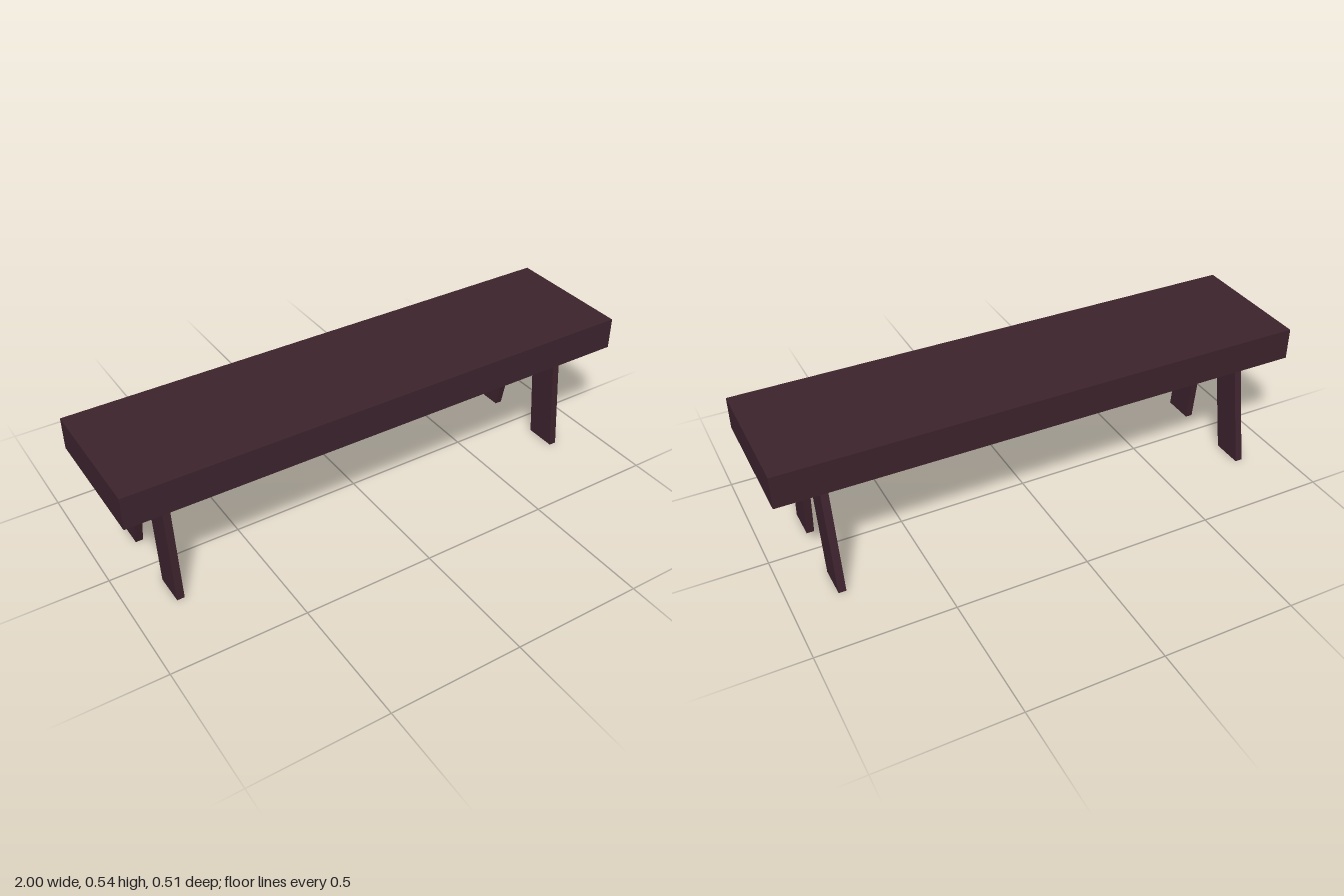
import * as THREE from 'three';

export function createModel() {
  const model = new THREE.Group();
  const wood = new THREE.MeshStandardMaterial({ color: 0x3d232d });
  wood.name = 'dark wood';

  const add = (name, geometry, x, y, z) => {
    const mesh = new THREE.Mesh(geometry, wood);
    mesh.name = name;
    mesh.position.set(x, y, z);
    model.add(mesh);
    return mesh;
  };

  const bottom = 0.42, top = 0.542, recess = 0.03, rim = 0.068;
  const halfDepth = 0.25, seatZ = 0.008;

  // Seat slab above the shallow underside recess
  const slabHeight = top - bottom - recess;
  add('seat', new THREE.BoxGeometry(2, slabHeight, halfDepth * 2), 0, top - slabHeight / 2, seatZ);

  // Rim framing the recess
  const rectangle = (Type, w, d) => new Type([[-w, -d], [w, -d], [w, d], [-w, d]]
    .map(([x, y]) => new THREE.Vector2(x, y)));
  const frame = rectangle(THREE.Shape, 1, halfDepth);
  frame.holes.push(rectangle(THREE.Path, 1 - rim, halfDepth - rim));
  const frameGeometry = new THREE.ExtrudeGeometry(frame, { depth: recess, bevelEnabled: false });
  frameGeometry.rotateX(-Math.PI / 2);
  add('seatRim', frameGeometry, 0, bottom, seatZ);

  // Slanted plank legs: a box sheared along z, feet cut level with the floor
  const legHeight = bottom + recess;
  const makeLeg = (footZ, slope) => {
    const geometry = new THREE.BoxGeometry(0.028, legHeight, 0.12);
    geometry.translate(0, legHeight / 2, 0);
    const p = geometry.attributes.position;
    for (let i = 0; i < p.count; i++) p.setZ(i, p.getZ(i) + footZ + slope * p.getY(i));
    geometry.computeVertexNormals();
    return geometry;
  };
  for (const [side, x] of [['left', 0.817], ['right', -0.828]]) {
    add(side + 'FrontLeg', makeLeg(0.153, -0.102), x, 0, 0);
    add(side + 'BackLeg', makeLeg(-0.196, 0.2), x, 0, 0);
  }

  return model;
}
